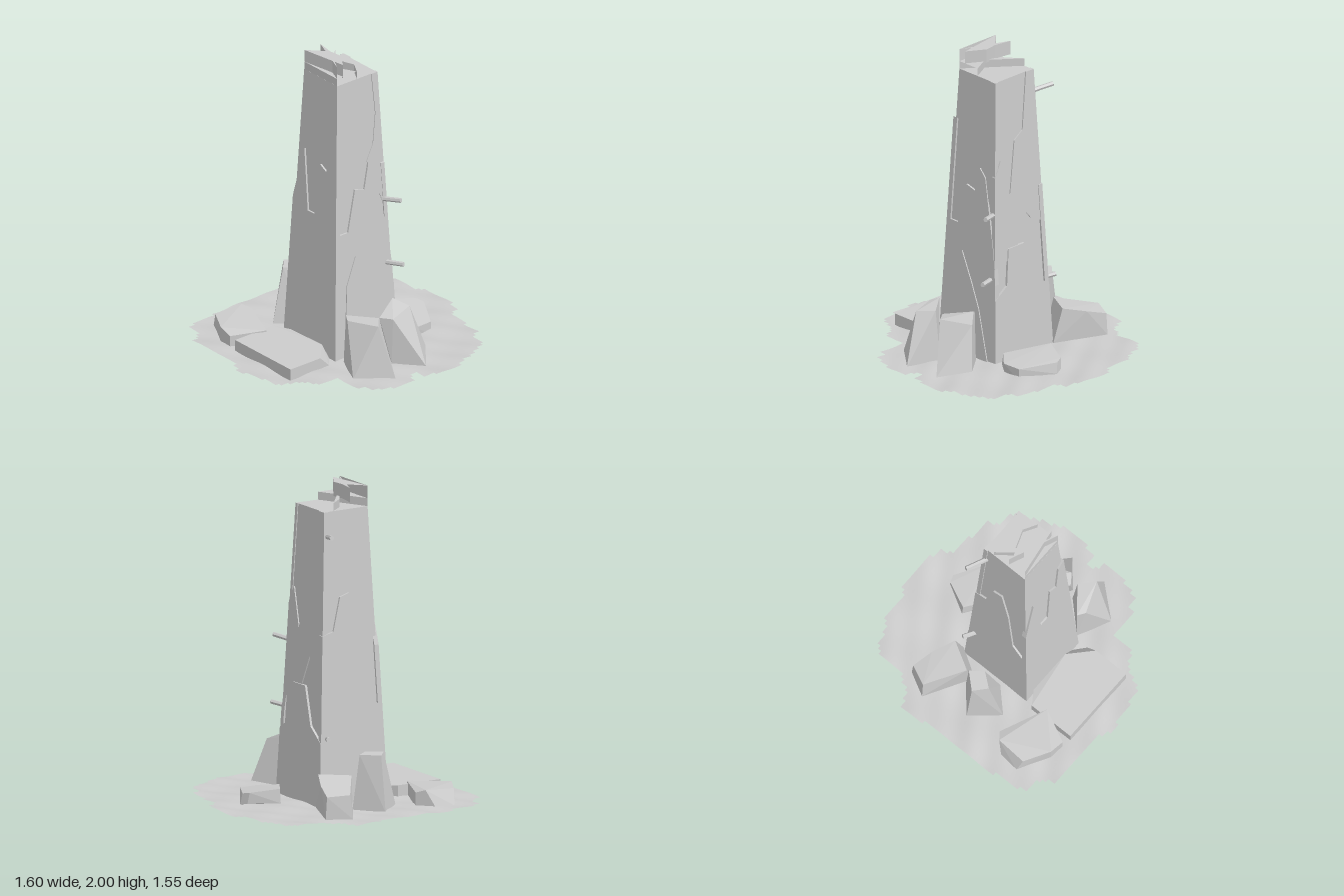
import * as THREE from 'three';
import { ConvexGeometry } from 'three/addons/geometries/ConvexGeometry.js';

const stone = new THREE.MeshStandardMaterial({ color: 0xcccccc, flatShading: true });
const earth = new THREE.MeshStandardMaterial({ color: 0xcccccc, side: THREE.DoubleSide });

const TOP = 1.87, BASE = 0.02, CENTRE_X = -0.022;
const half = (y) => 0.238 - 0.043 * y; // half width of the tapering pillar

function add(parent, name, geometry, material = stone) {
  const mesh = new THREE.Mesh(geometry, material);
  mesh.name = name;
  parent.add(mesh);
  return mesh;
}

const shapeOf = (points) => new THREE.Shape(points.map(([x, y]) => new THREE.Vector2(x, y)));

// Thin broken facing laid on one side of the pillar; u runs -1..1 across the face
function facing(points, out, angle) {
  const g = new THREE.ExtrudeGeometry(shapeOf(points), { depth: 1, bevelEnabled: false });
  const p = g.attributes.position;
  for (let i = 0; i < p.count; i++) {
    const y = p.getY(i), outer = p.getZ(i) > 0.5;
    p.setXYZ(i, p.getX(i) * (half(y) + Math.min(out, 0.012)), y, half(y) + (outer ? out : -0.02));
  }
  g.rotateY(angle);
  g.computeVertexNormals();
  return g;
}

// Slab with a zigzag edge, lying on the pillar top
function step(edge, y0, y1) {
  const z = 0.157, left = CENTRE_X - 0.157;
  const outline = [[left, z], [left, -z], ...edge.map(([x, ez]) => [x, -ez])];
  const g = new THREE.ExtrudeGeometry(shapeOf(outline), { depth: y1 - y0, bevelEnabled: false });
  return g.rotateX(-Math.PI / 2).translate(0, y0, 0);
}

function rod(a, b) {
  const from = new THREE.Vector3(...a), to = new THREE.Vector3(...b);
  const dir = to.clone().sub(from);
  const g = new THREE.CylinderGeometry(0.015, 0.015, dir.length(), 6);
  g.applyQuaternion(new THREE.Quaternion().setFromUnitVectors(new THREE.Vector3(0, 1, 0), dir.normalize()));
  const mid = from.add(to).multiplyScalar(0.5);
  return g.translate(mid.x, mid.y, mid.z);
}

const rock = (points) => new ConvexGeometry(points.map((p) => new THREE.Vector3(...p)));

// Flat ground patch, cut from a grid so that its rim is ragged
function groundGeometry() {
  const rim = [[-.52, -.73], [-.27, -.75], [0, -.75], [.28, -.78], [.33, -.68], [.45, -.6], [.6, -.6],
    [.66, -.56], [.72, -.4], [.76, -.38], [.76, -.2], [.79, -.18], [.8, .05], [.77, .17], [.71, .2],
    [.71, .3], [.67, .37], [.67, .5], [.6, .52], [.6, .63], [.52, .66], [.4, .72], [.28, .77], [.15, .77],
    [.03, .75], [.03, .67], [-.02, .67], [-.06, .75], [-.18, .75], [-.35, .7], [-.35, .63], [-.4, .61],
    [-.4, .43], [-.55, .42], [-.58, .35], [-.68, .28], [-.74, .25], [-.77, .1], [-.8, -.07], [-.77, -.1],
    [-.74, -.2], [-.74, -.55], [-.67, -.57], [-.64, -.7]];
  const inside = (x, z) => {
    let hit = false;
    rim.forEach(([ax, az], i) => {
      const [bx, bz] = rim[(i + 1) % rim.length];
      if ((az > z) !== (bz > z) && x < ax + ((bx - ax) * (z - az)) / (bz - az)) hit = !hit;
    });
    return hit;
  };
  const g = new THREE.PlaneGeometry(1.6, 1.6, 64, 64).rotateX(-Math.PI / 2);
  const p = g.attributes.position, old = g.index.array, kept = [];
  for (let i = 0; i < p.count; i++) {
    const x = p.getX(i), z = p.getZ(i);
    p.setY(i, 0.037 + 0.005 * Math.sin(13 * x + 4 * z) * Math.cos(11 * z - 5 * x) + 0.003 * Math.sin(27 * x - 19 * z));
  }
  // six indices make one grid cell
  for (let c = 0; c < old.length; c += 6) {
    const a = old[c], d = old[c + 4];
    if (inside((p.getX(a) + p.getX(d)) / 2, (p.getZ(a) + p.getZ(d)) / 2)) kept.push(...old.slice(c, c + 6));
  }
  g.setIndex(kept);
  g.computeVertexNormals();
  return g;
}

export function createModel() {
  const model = new THREE.Group();
  model.name = 'ruinedPillar';
  add(model, 'ground', groundGeometry(), earth);

  // Tapered square shaft
  const pillar = new THREE.Group();
  pillar.name = 'pillar';
  pillar.position.x = CENTRE_X;
  model.add(pillar);
  const shaft = new THREE.CylinderGeometry(half(TOP) * Math.SQRT2, half(BASE) * Math.SQRT2, TOP - BASE, 4);
  add(pillar, 'shaft', shaft.rotateY(Math.PI / 4).translate(0, (TOP + BASE) / 2, 0));

  // Cracked facings: [name, angle, thickness, outline]
  const q = Math.PI / 2;
  const facings = [
    ['frontLowerFacing', 0, .012, [[-1, .02], [1, .02], [1, .55], [.93, .75], [.55, 1.23], [.31, 1.28],
      [.12, 1.12], [-.25, 1.14], [-.54, .87], [-1, .87]]],
    ['frontFootFacing', 0, .019, [[-.7, .02], [.75, .02], [.4, .36], [.1, .52], [-.3, .7], [-.62, .52], [-.65, .36]]],
    ['frontUpperFacing', 0, .005, [[1, .9], [1, 1.87], [.7, 1.87], [.78, 1.6], [.6, 1.4], [.3, 1.3], [.5, 1.2]]],
    ['leftLowerFacing', q, .015, [[-1, .02], [1, .02], [1, .43], [.48, .52], [.15, .76], [-.48, .76], [-.56, .52], [-1, .45]]],
    ['leftUpperFacing', q, .008, [[-1, .65], [-.2, .7], [.3, .95], [.5, .9], [1, .85], [1, 1.87], [.6, 1.87],
      [.3, 1.5], [-.1, 1.45], [-.35, 1.1], [-.75, 1.35], [-1, 1.25]]],
    ['backFacing', 2 * q, .012, [[-1, .02], [1, .02], [1, .6], [.5, .72], [.3, 1.1], [0, 1.35], [-.35, 1.33], [-.6, 1.12], [-1, 1.1]]],
    ['rightFacing', -q, .012, [[-1, .02], [1, .02], [1, 1.55], [.7, 1.5], [.5, 1.27], [.2, 1.3], [0, .95],
      [-.3, .95], [-.6, 1.35], [-1, 1.0]]],
  ];
  for (const [name, angle, out, points] of facings) add(pillar, name, facing(points, out, angle));

  // Broken stepped top
  add(model, 'middleStep', step([[.07, -.157], [-.025, -.08], [.03, .07], [-.02, .157]], TOP - .01, 1.92));
  add(model, 'highStep', step([[-.05, -.157], [-.07, -.04], [-.06, .04], [-.13, .157]], 1.91, 2));

  // Bent iron rods
  const rods = [
    [[.15, 1.0, .17], [.205, 1.02, .31]], [[.15, .575, .19], [.205, .59, .335]],
    [[.11, 1.71, -.13], [.175, 1.74, -.3]], [[.14, .45, -.18], [.2, .47, -.3]],
  ];
  rods.forEach(([a, b], i) => add(model, 'ironRod' + (i + 1), rod(a, b)));

  // Fallen rocks
  const rocks = {
    rightSlab: [[-.64, .03, -.27], [-.64, .11, -.27], [-.33, .11, -.27], [-.33, .03, -.27], [-.27, .1, -.18], [-.27, .03, -.18],
      [-.27, .11, .12], [-.27, .04, .19], [-.4, .11, .26], [-.33, .04, .26], [-.64, .11, .26], [-.64, .03, .26]],
    backRightSlab: [[-.62, .13, -.43], [-.53, .13, -.59], [-.33, .14, -.58], [-.29, .12, -.53], [-.42, .12, -.23], [-.63, .11, -.33],
      [-.62, .03, -.43], [-.51, .03, -.63], [-.38, .03, -.62], [-.29, .03, -.53], [-.42, .03, -.23], [-.63, .03, -.33]],
    backRock: [[-.05, .03, -.56], [.09, .03, -.4], [-.08, .03, -.27], [-.22, .03, -.41],
      [-.05, .38, -.51], [.05, .38, -.42], [-.03, .38, -.36], [-.12, .38, -.43]],
    backLeftRock: [[.09, .25, -.39], [.27, .26, -.29], [.38, .18, -.56], [.25, .19, -.62], [.34, .22, -.43],
      [.07, .04, -.34], [.25, .04, -.23], [.39, .04, -.56], [.24, .04, -.64]],
    leftSlab: [[.4, .14, -.06], [.57, .12, .02], [.59, .11, .07], [.47, .09, .28], [.34, .09, .285], [.24, .1, .19],
      [.4, .05, -.07], [.58, .05, .03], [.6, .04, .08], [.47, .01, .28], [.34, 0, .28], [.235, .02, .2]],
    frontRightRock: [[-.23, .03, .28], [-.05, .03, .45], [-.13, .03, .66], [-.33, .03, .49],
      [-.25, .35, .34], [-.22, .36, .29], [-.09, .36, .45], [-.17, .36, .54]],
    frontLeftRock: [[.12, .385, .33], [.09, .36, .29], [-.06, .34, .42], [-.01, .34, .49], [.19, .34, .41],
      [.26, .07, .48], [.12, .04, .65], [-.02, .04, .49], [.1, .04, .29]],
  };
  for (const [name, points] of Object.entries(rocks)) add(model, name, rock(points));

  return model;
}
